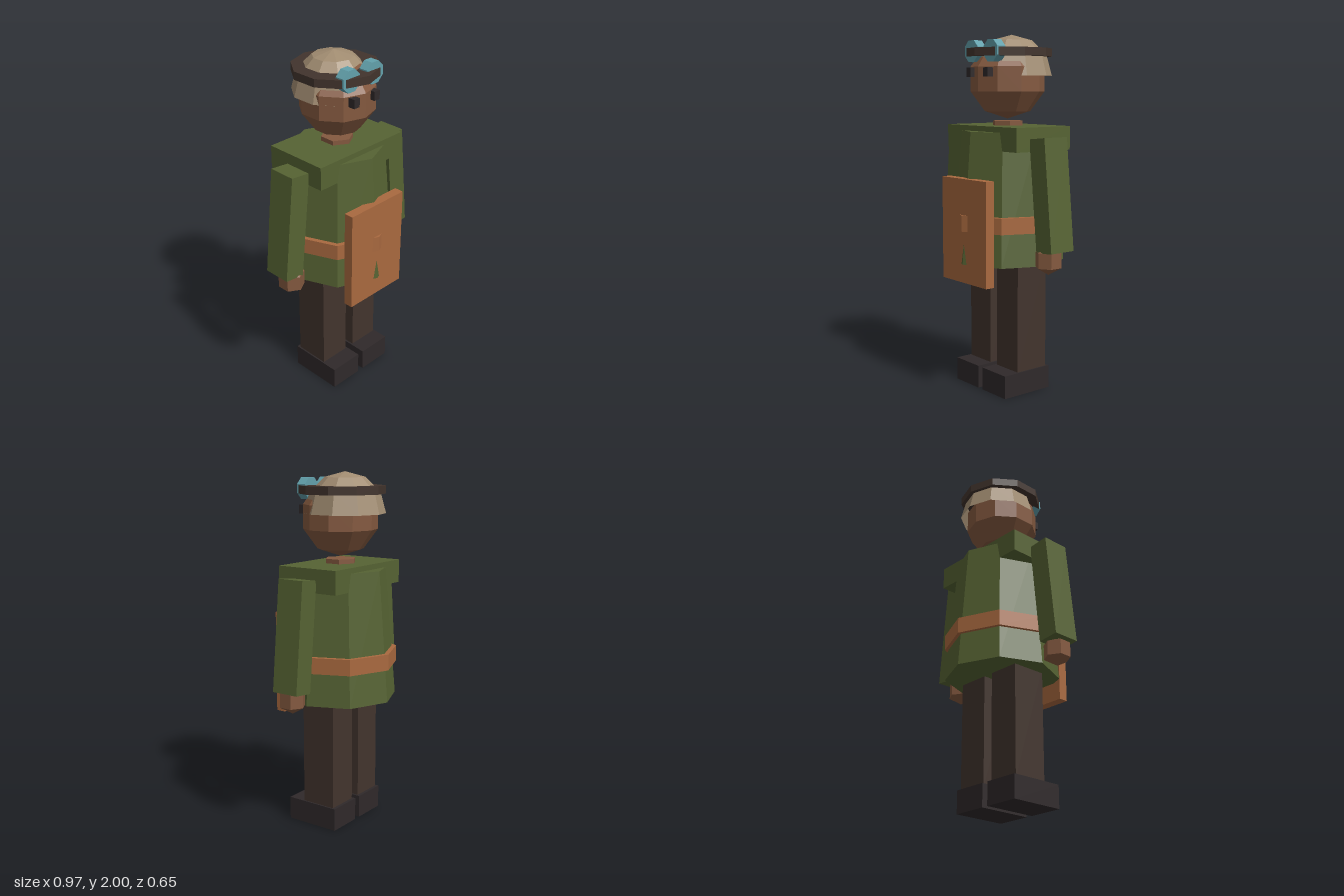
import * as THREE from 'three';

const mat = (name, color, side = THREE.FrontSide) =>
  new THREE.MeshStandardMaterial({ name, color, side, flatShading: true });

export function createModel() {
  const green = mat('tunic green', 0x566333);
  const leather = mat('apron leather', 0xa9693f);
  const brown = mat('trouser brown', 0x42342d);
  const dark = mat('boot black', 0x2f292a);
  const skin = mat('skin', 0x84593f);
  const tan = mat('cap tan', 0xa18c71, THREE.DoubleSide);
  const teal = mat('goggle teal', 0x62a0ab);

  const model = new THREE.Group();
  model.name = 'worker';

  const add = (name, geometry, material, x = 0, y = 0, z = 0) => {
    const mesh = new THREE.Mesh(geometry, material);
    mesh.name = name;
    mesh.position.set(x, y, z);
    model.add(mesh);
    return mesh;
  };
  const box = (w, h, d) => new THREE.BoxGeometry(w, h, d);
  const prism = (rTop, rBottom, h, sides) => new THREE.CylinderGeometry(rTop, rBottom, h, sides);

  // Faceted ball from polar angle 'from' (0 = bottom pole) up to the top, with a corner facing +z
  const ball = (r, rings, sides, from = 0) => {
    const profile = [];
    for (let i = 0; i <= rings; i++) {
      const a = from + (Math.PI - from) * i / rings;
      profile.push(new THREE.Vector2(Math.max(0, r * Math.sin(a)), -r * Math.cos(a)));
    }
    return new THREE.LatheGeometry(profile, sides);
  };

  // Body
  add('tunic', prism(0.26, 0.32, 0.73, 8), green, 0, 1.105, 0);
  add('shoulders', box(0.62, 0.13, 0.38), green, 0, 1.435, 0);
  add('belt', prism(0.325, 0.325, 0.09, 8), leather, 0, 0.97, 0);
  add('apron', box(0.4, 0.58, 0.055), leather, 0, 0.925, 0.283);

  // Head, cap and headband
  add('neck', prism(0.09, 0.09, 0.09, 6), skin, 0, 1.48, 0);
  add('head', ball(0.218, 5, 10), skin, 0, 1.755, 0);
  add('cap', ball(0.226, 3, 10, Math.PI / 2), tan, 0, 1.774, -0.03);
  add('headband', prism(0.24, 0.24, 0.045, 10), brown, 0, 1.902, -0.01);

  // Octagonal goggle lens with flat top, lying along z
  const lens = prism(0.064, 0.064, 0.055, 8);
  lens.rotateY(Math.PI / 8);
  lens.rotateX(Math.PI / 2);

  // Paired parts
  for (const [side, s] of [['left', 1], ['right', -1]]) {
    add(side + 'Leg', box(0.185, 0.66, 0.205), brown, s * 0.123, 0.44, 0);
    add(side + 'Boot', box(0.205, 0.13, 0.32), dark, s * 0.122, 0.065, 0.04);
    const arm = add(side + 'Arm', box(0.12, 0.61, 0.16), green, s * 0.395, 1.14, 0.018);
    arm.rotation.z = s * 0.1;
    add(side + 'Hand', ball(0.084, 3, 6), skin, s * 0.395, 0.794, 0.037);
    add(side + 'Eye', box(0.04, 0.05, 0.04), dark, s * 0.075, 1.792, 0.196);
    add(side + 'Goggle', lens, teal, s * 0.086, 1.907, 0.161);
  }
  return model;
}
